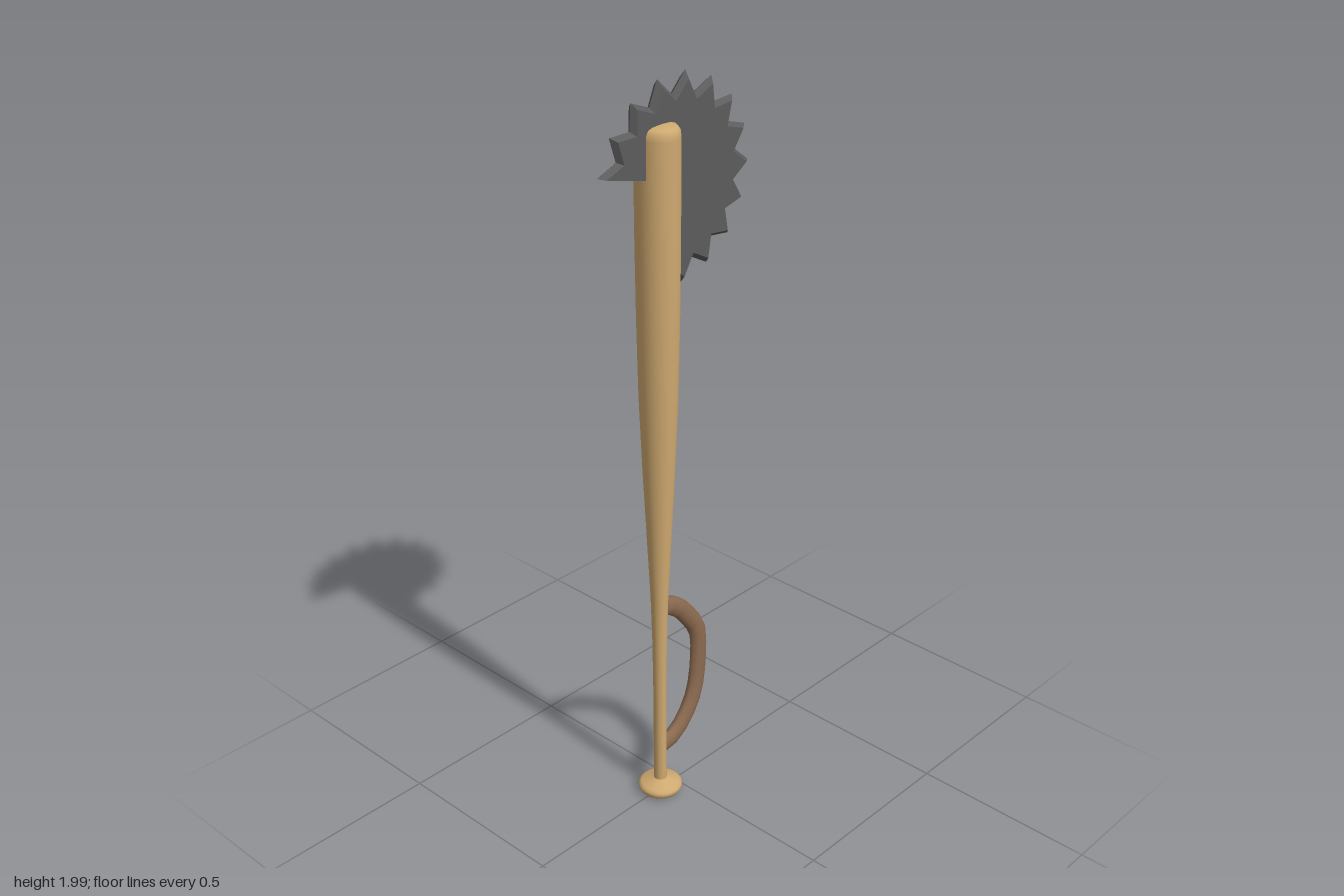
import * as THREE from 'three';

const AXIS_X = -0.056; // centre line of the bat
const vec = (pairs) => pairs.map(([a, b]) => new THREE.Vector2(a, b));

function addMesh(group, name, geometry, color) {
  const material = new THREE.MeshStandardMaterial({ color });
  const mesh = new THREE.Mesh(geometry, material);
  mesh.name = name;
  group.add(mesh);
  return mesh;
}

// Partial saw disc: a toothed outline at z = 0, bevelled to two flat faces
function sawGeometry() {
  const cx = 0, cy = 1.738, tipR = 0.259, valleyR = 0.21, half = 0.014;
  const teeth = 13, start = -84.7, step = 20.8;
  const outline = [];
  for (let i = 0; i < teeth; i++) {
    for (const [offset, r] of [[-step / 2, i ? valleyR : 0.226], [0, tipR]]) {
      const a = THREE.MathUtils.degToRad(start + i * step + offset);
      outline.push([r * Math.cos(a), r * Math.sin(a)]);
    }
  }
  const hub = [-0.05, 0.017]; // hidden inside the bat
  const positions = [];
  const tri = (...points) => points.forEach((p) => positions.push(cx + p[0], cy + p[1], p[2]));
  const rim = (p) => [p[0], p[1], 0];
  for (const side of [1, -1]) {
    const face = (p) => [p[0] * 0.93, p[1] * 0.93, side * half];
    const put = (a, b, c) => (side > 0 ? tri(a, b, c) : tri(a, c, b));
    const loop = [...outline, hub];
    loop.forEach((p, i) => {
      const q = loop[(i + 1) % loop.length];
      put(rim(p), rim(q), face(q));
      put(rim(p), face(q), face(p));
      if (i < outline.length - 1) put(face(hub), face(p), face(q));
    });
  }
  const geometry = new THREE.BufferGeometry();
  geometry.setAttribute('position', new THREE.Float32BufferAttribute(positions, 3));
  geometry.computeVertexNormals();
  return geometry;
}

export function createModel() {
  const model = new THREE.Group();
  const wood = 0xcfa970;

  // Tapered bat, slightly narrower from side to side
  const bat = addMesh(model, 'batBody', new THREE.LatheGeometry(vec([
    [0.019, 0.02], [0.018, 0.1], [0.018, 0.3], [0.02, 0.48], [0.024, 0.62],
    [0.033, 0.8], [0.043, 1.0], [0.051, 1.2], [0.055, 1.4], [0.057, 1.6],
    [0.058, 1.86], [0.056, 1.876], [0.049, 1.885], [0.035, 1.889], [0, 1.891],
  ]), 28), wood);
  bat.scale.x = 0.92;
  bat.position.x = AXIS_X;

  // Flared end knob
  const knob = addMesh(model, 'endKnob', new THREE.LatheGeometry(vec([
    [0, 0], [0.046, 0], [0.055, 0.006], [0.06, 0.015], [0.059, 0.023],
    [0.052, 0.029], [0.035, 0.034], [0.018, 0.042],
  ]), 28), wood);
  knob.position.x = AXIS_X;

  // Curved hand guard
  const path = new THREE.CatmullRomCurve3([
    [-0.05, 0.588], [-0.02, 0.58], [0.024, 0.55], [0.064, 0.5], [0.092, 0.455],
    [0.098, 0.36], [0.08, 0.25], [0.042, 0.187], [-0.003, 0.15], [-0.05, 0.142],
  ].map(([x, y]) => new THREE.Vector3(x, y, 0)));
  const guard = addMesh(model, 'handGuard', new THREE.TubeGeometry(path, 14, 0.027, 10), 0x8b6a50);
  guard.scale.z = 0.68;
  guard.position.z = -0.003;

  // Saw blade set into the barrel
  const saw = addMesh(model, 'sawBlade', sawGeometry(), 0x5c5c5c);
  saw.material.flatShading = true;

  return model;
}
